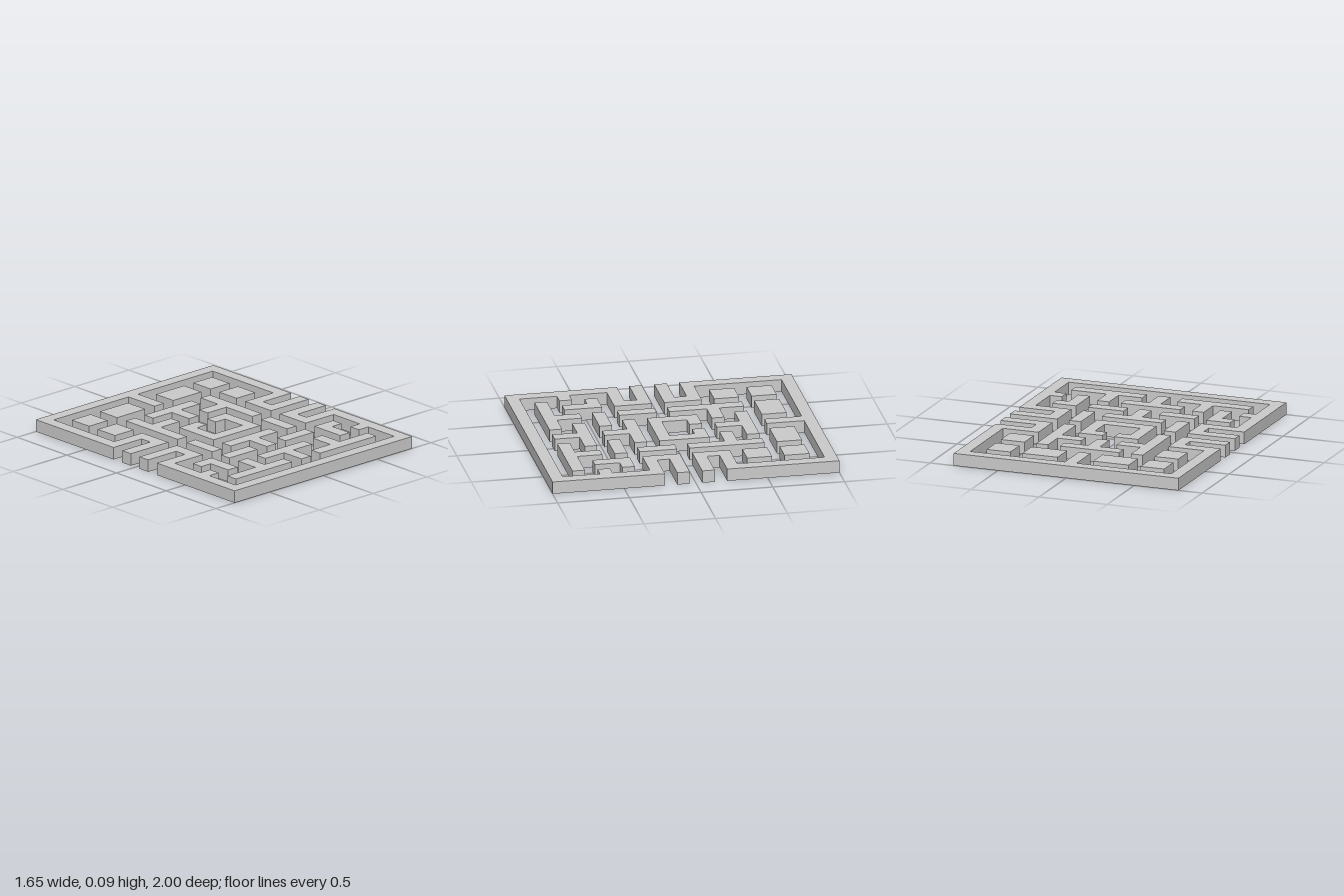
import * as THREE from 'three';

// The maze lies on a grid of 19 x 23 square cells; walls are one cell high.
const CELL = 2 / 23;
const material = new THREE.MeshStandardMaterial({ color: 0xcccccc, flatShading: true });

// Outline points are [cells from the centre line, rows from the back edge].
function wall(name, points) {
  const shape = new THREE.Shape(
    points.map(([u, row]) => new THREE.Vector2(u * CELL, (11.5 - row) * CELL))
  );
  const geometry = new THREE.ExtrudeGeometry(shape, { depth: CELL, bevelEnabled: false });
  geometry.rotateX(-Math.PI / 2);
  const mesh = new THREE.Mesh(geometry, material);
  mesh.name = name;
  return mesh;
}

const mirror = (points) => points.map(([u, row]) => [-u, row]);
const rect = (u0, u1, r0, r1) => [[u0, r0], [u1, r0], [u1, r1], [u0, r1]];

// T-shaped wall on the centre line, half outline
const tee = (row, end) => [[2.5, row], [2.5, row + 1], [0.5, row + 1], [0.5, end]];

export function createModel() {
  const group = new THREE.Group();
  group.name = 'maze';

  // Walls crossing the centre line: half outline, closed by its mirror image
  const central = {
    backBorder: [
      [9.5, 0], [9.5, 9], [6.5, 9], [6.5, 10], [9.5, 10], [9.5, 11],
      [5.5, 11], [5.5, 8], [8.5, 8], [8.5, 1], [0.5, 1], [0.5, 4],
    ],
    frontBorder: [
      [9.5, 23], [9.5, 14], [6.5, 14], [6.5, 13], [9.5, 13], [9.5, 12], [5.5, 12],
      [5.5, 15], [8.5, 15], [8.5, 18], [7.5, 18], [7.5, 19], [8.5, 19], [8.5, 22],
    ],
    centreRoom: [[1.5, 12], [1.5, 10], [0.5, 10], [0.5, 9], [2.5, 9], [2.5, 13]],
    backTee: tee(5, 8),
    middleTee: tee(14, 17),
    frontTee: tee(18, 21),
  };
  for (const [name, half] of Object.entries(central)) {
    group.add(wall(name, [...half, ...mirror(half).reverse()]));
  }

  // Walls that come in left and right pairs
  const paired = {
    OuterBackBlock: rect(5.5, 7.5, 2, 4),
    InnerBackBlock: rect(1.5, 4.5, 2, 4),
    SideBlock: rect(5.5, 7.5, 5, 7),
    SideTee: [
      [4.5, 5], [4.5, 11], [3.5, 11], [3.5, 8], [1.5, 8], [1.5, 7], [3.5, 7], [3.5, 5],
    ],
    SideBar: rect(3.5, 4.5, 12, 15),
    FrontBar: rect(1.5, 4.5, 16, 17),
    CornerHook: [[5.5, 16], [7.5, 16], [7.5, 17], [6.5, 17], [6.5, 19], [5.5, 19]],
    FrontBranch: [
      [1.5, 21], [7.5, 21], [7.5, 20], [4.5, 20], [4.5, 18], [3.5, 18], [3.5, 20], [1.5, 20],
    ],
  };
  for (const [name, points] of Object.entries(paired)) {
    group.add(wall('left' + name, points), wall('right' + name, mirror(points)));
  }

  return group;
}
